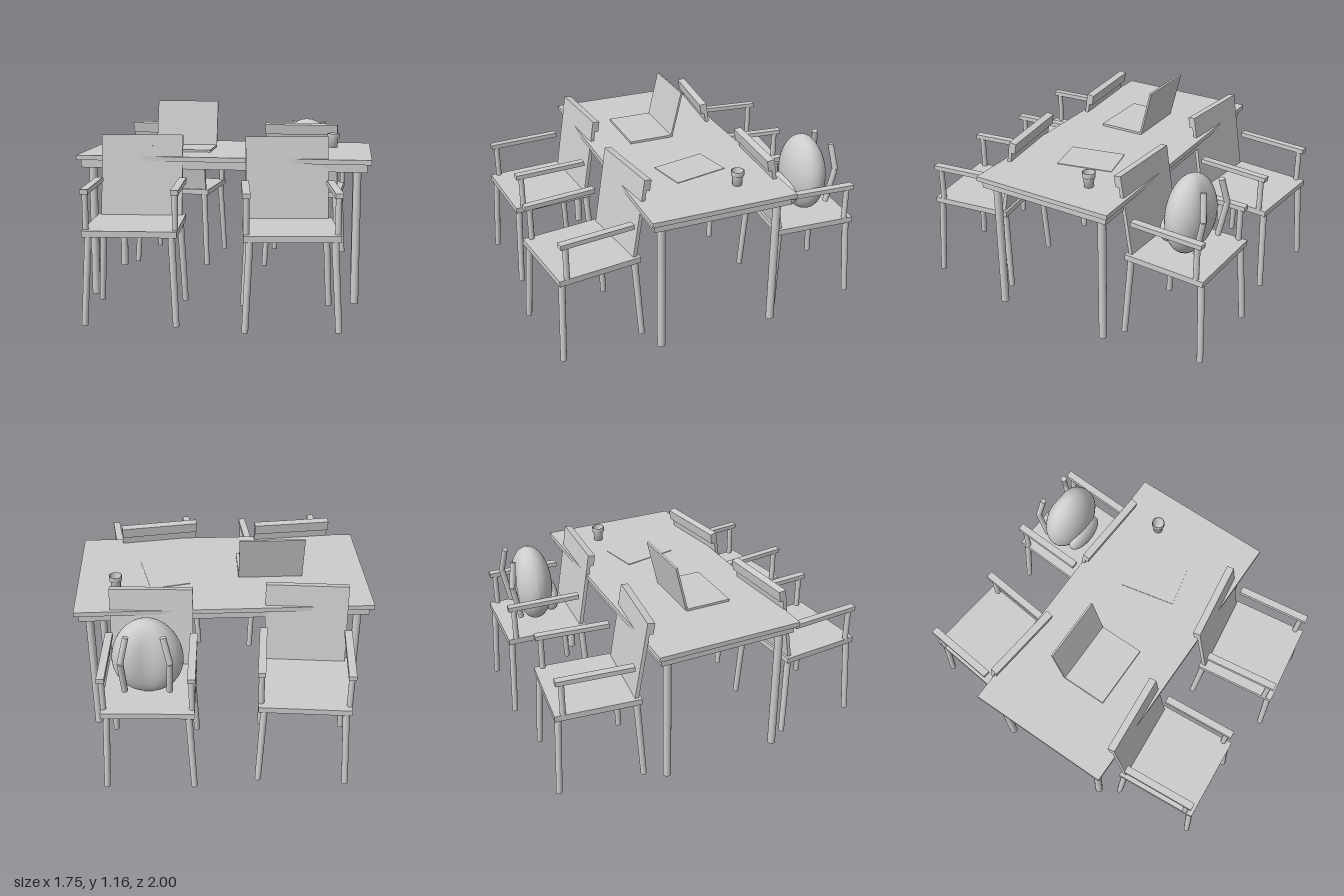
import * as THREE from 'three';

export function createModel() {
  const model = new THREE.Group();
  const grey = new THREE.MeshStandardMaterial({ color: 0xcccccc });
  grey.name = 'light grey';

  const add = (parent, name, geometry, x = 0, y = 0, z = 0) => {
    const mesh = new THREE.Mesh(geometry, grey);
    mesh.name = name;
    mesh.position.set(x, y, z);
    parent.add(mesh);
    return mesh;
  };
  const box = (parent, name, w, h, d, x, y, z) =>
    add(parent, name, new THREE.BoxGeometry(w, h, d), x, y, z);
  const group = (parent, name, x = 0, y = 0, z = 0, turn = 0) => {
    const g = new THREE.Group();
    g.name = name;
    g.position.set(x, y, z);
    g.rotation.y = THREE.MathUtils.degToRad(turn);
    parent.add(g);
    return g;
  };
  // round bar between two points
  const bar = (parent, name, a, b, rTop, rBottom, sides = 16) => {
    const from = new THREE.Vector3(...a), to = new THREE.Vector3(...b);
    const dir = to.clone().sub(from);
    const mesh = add(parent, name, new THREE.CylinderGeometry(rTop, rBottom, dir.length(), sides));
    mesh.position.copy(from).add(to).multiplyScalar(0.5);
    mesh.quaternion.setFromUnitVectors(new THREE.Vector3(0, 1, 0), dir.normalize());
    return mesh;
  };

  // table
  const table = group(model, 'table', 0, 0, -0.004);
  box(table, 'tableTop', 1.75, 0.028, 0.872, 0, 0.857, 0);
  box(table, 'tableApron', 1.7, 0.047, 0.83, 0, 0.8195, 0);
  for (const sx of [-1, 1]) for (const sz of [-1, 1])
    bar(table, 'tableLeg', [sx * 0.793, 0, sz * 0.355], [sx * 0.793, 0.8, sz * 0.355], 0.024, 0.024, 20);

  // chairs: the backrest is on the local -z side, next to the table
  const addChair = (name, x, z, turn) => {
    const chair = group(model, name, x, 0, z, turn);
    box(chair, 'seat', 0.52, 0.035, 0.5, 0, 0.5125, 0);
    for (const sx of [-1, 1]) {
      for (const sz of [-1, 1])
        bar(chair, 'chairLeg', [sx * 0.253, 0, sz * 0.253], [sx * 0.228, 0.5, sz * 0.225], 0.02, 0.018);
      box(chair, 'armrest', 0.044, 0.028, 0.445, sx * 0.246, 0.741, 0.012);
      bar(chair, 'armPost', [sx * 0.246, 0.525, 0.2], [sx * 0.246, 0.73, 0.2], 0.017, 0.017);
    }
    const back = group(chair, 'backrest', 0, 0.525, -0.212);
    back.rotation.x = -0.168;
    box(back, 'backPanel', 0.48, 0.478, 0.022, 0, 0.239, -0.011);
    box(back, 'topRail', 0.482, 0.066, 0.044, 0, 0.447, -0.021);
    return chair;
  };
  addChair('frontRightChair', -0.448, 0.7, 4.6);
  addChair('frontLeftChair', 0.426, 0.7, 7.8);
  addChair('backRightChair', -0.448, -0.703, 180 - 6);
  addChair('backLeftChair', 0.44, -0.703, 180 - 3);

  // laptop
  const laptop = group(model, 'laptop', -0.295, 0.871, 0);
  box(laptop, 'laptopBase', 0.39, 0.014, 0.272, 0, 0.007, 0.054);
  const lid = group(laptop, 'laptopLid', 0, 0.006, -0.08);
  lid.rotation.x = -0.235;
  box(lid, 'screen', 0.39, 0.292, 0.012, 0, 0.146, -0.006);

  // sheet of paper
  const paper = box(model, 'paper', 0.24, 0.004, 0.335, 0.35, 0.873, -0.01);
  paper.rotation.y = 0.21;

  // cup with an open inside
  const cup = [[0, 0], [0.028, 0], [0.031, 0.055], [0.038, 0.06], [0.039, 0.088],
    [0.034, 0.088], [0.026, 0.012], [0, 0.012]].map(([r, y]) => new THREE.Vector2(r, y));
  add(model, 'cup', new THREE.LatheGeometry(cup, 28), 0.64, 0.871, -0.18);

  // backpack resting on a chair
  const pack = group(model, 'backpack', 0.445, 0.765, -0.724, -3);
  const body = new THREE.SphereGeometry(1, 40, 28);
  const p = body.attributes.position;
  for (let i = 0; i < p.count; i++) {
    const x = p.getX(i), y = p.getY(i), z = p.getZ(i);
    const wide = 1 - 0.08 * y;
    // shallow hollow down the side that rests against the wearer
    const hollow = z < 0 ? 0.028 * z * z * Math.exp(-x * x * 8) : 0;
    p.setXYZ(i, x * 0.2 * wide, y * 0.237, z * 0.125 + hollow);
  }
  body.computeVertexNormals();
  add(pack, 'packBody', body);
  const pouch = add(pack, 'frontPouch', new THREE.SphereGeometry(1, 28, 20), -0.005, -0.105, 0.105);
  pouch.scale.set(0.135, 0.098, 0.056);
  for (const s of [-1, 1]) {
    const mid = [s * 0.135, 0.05, -0.15];
    bar(pack, 'shoulderStrap', [s * 0.125, -0.165, -0.108], mid, 0.018, 0.018, 10);
    bar(pack, 'shoulderStrap', mid, [s * 0.1, 0.205, -0.125], 0.018, 0.018, 10);
  }
  return model;
}
